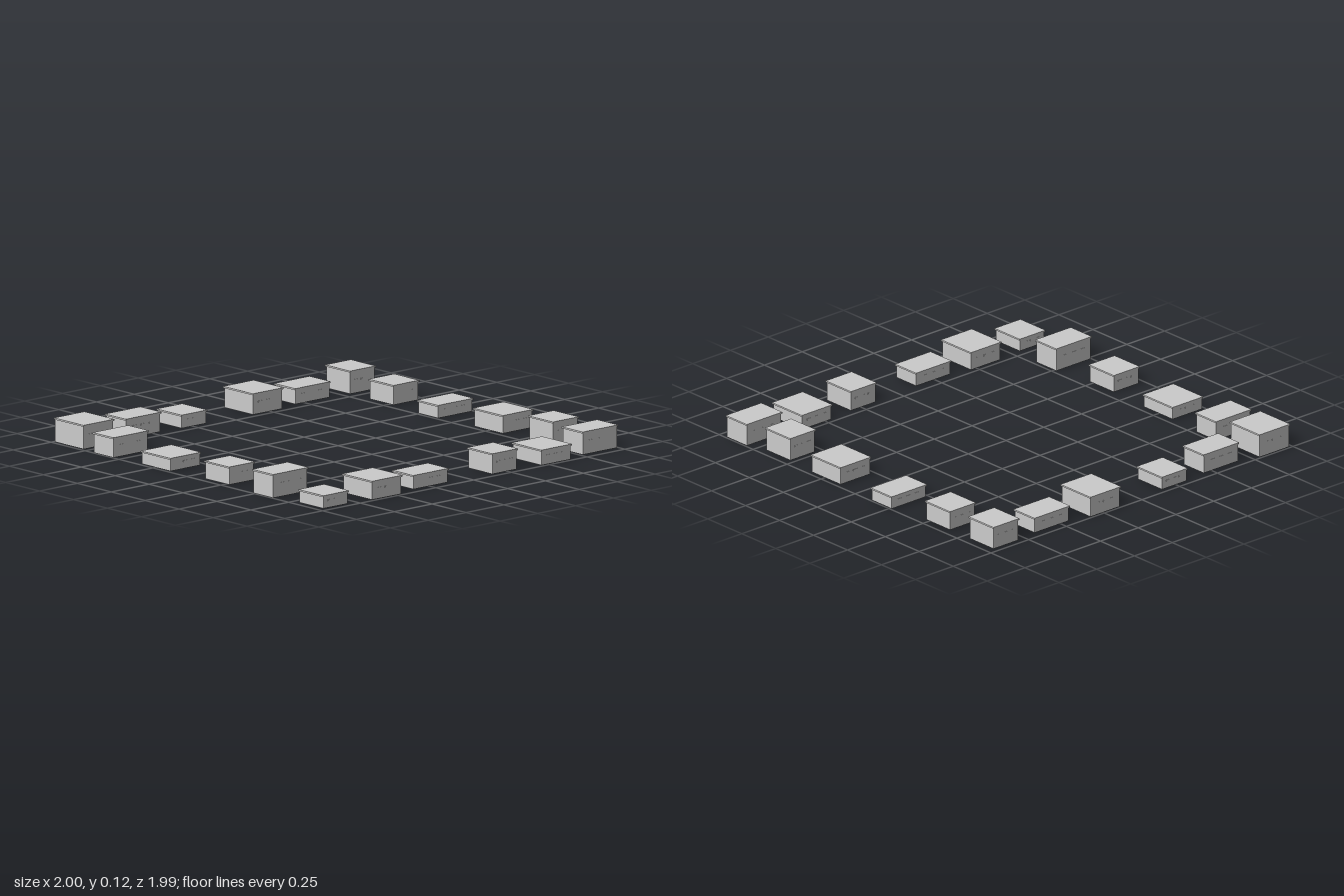
import * as THREE from 'three';

// Three house footprints: roof width and depth
const TYPES = { A: [0.203, 0.22], B: [0.235, 0.155], C: [0.171, 0.185] };

// Ring of houses: type, x, z, height
const HOUSES = [
  // back row
  ['A', -0.885, -0.885, 0.122], ['B', -0.5625, -0.8825, 0.1], ['C', -0.24, -0.8825, 0.068],
  ['A', 0.235, -0.885, 0.107], ['B', 0.5575, -0.8825, 0.08], ['C', 0.875, -0.8825, 0.117],
  // front row
  ['C', -0.883, 0.878, 0.066], ['A', -0.5625, 0.88, 0.095], ['B', -0.2425, 0.878, 0.071],
  ['C', 0.235, 0.878, 0.104], ['A', 0.5575, 0.88, 0.078], ['B', 0.8785, 0.878, 0.116],
  // left-hand column
  ['B', -0.8825, -0.6175, 0.102], ['A', -0.885, -0.245, 0.066],
  ['C', -0.883, 0.185, 0.091], ['B', -0.8825, 0.5575, 0.12],
  // right-hand column
  ['C', 0.875, -0.5625, 0.1], ['B', 0.8785, -0.1875, 0.066],
  ['A', 0.8775, 0.24, 0.092], ['C', 0.875, 0.6125, 0.119],
];

const ROOF = 0.008;
const EAVE = 0.005;

export function createModel() {
  const model = new THREE.Group();
  model.name = 'houseRing';
  const grey = new THREE.MeshStandardMaterial({ color: 0xcccccc, flatShading: true });

  const box = (parent, name, w, h, d, x, y, z) => {
    const mesh = new THREE.Mesh(new THREE.BoxGeometry(w, h, d), grey);
    mesh.name = name;
    mesh.position.set(x, y, z);
    parent.add(mesh);
  };

  for (const [type, x, z, height] of HOUSES) {
    const [w, d] = TYPES[type];
    const house = new THREE.Group();
    house.name = 'house';
    house.position.set(x, 0, z);
    model.add(house);

    // Walls under a thin overhanging flat roof
    const wallW = w - 2 * EAVE, wallD = d - 2 * EAVE, wallH = height - ROOF;
    box(house, 'walls', wallW, wallH, wallD, 0, wallH / 2, 0);
    box(house, 'roof', w, ROOF, d, 0, height - ROOF / 2, 0);

    // A row of small windows on the front and back walls
    for (const side of [-1, 1]) {
      for (let i = -1; i <= 1; i++) {
        box(house, 'window', w * 0.13, 0.008, 0.002,
          i * w * 0.24, height * 0.56, side * wallD / 2);
      }
    }
  }
  return model;
}
